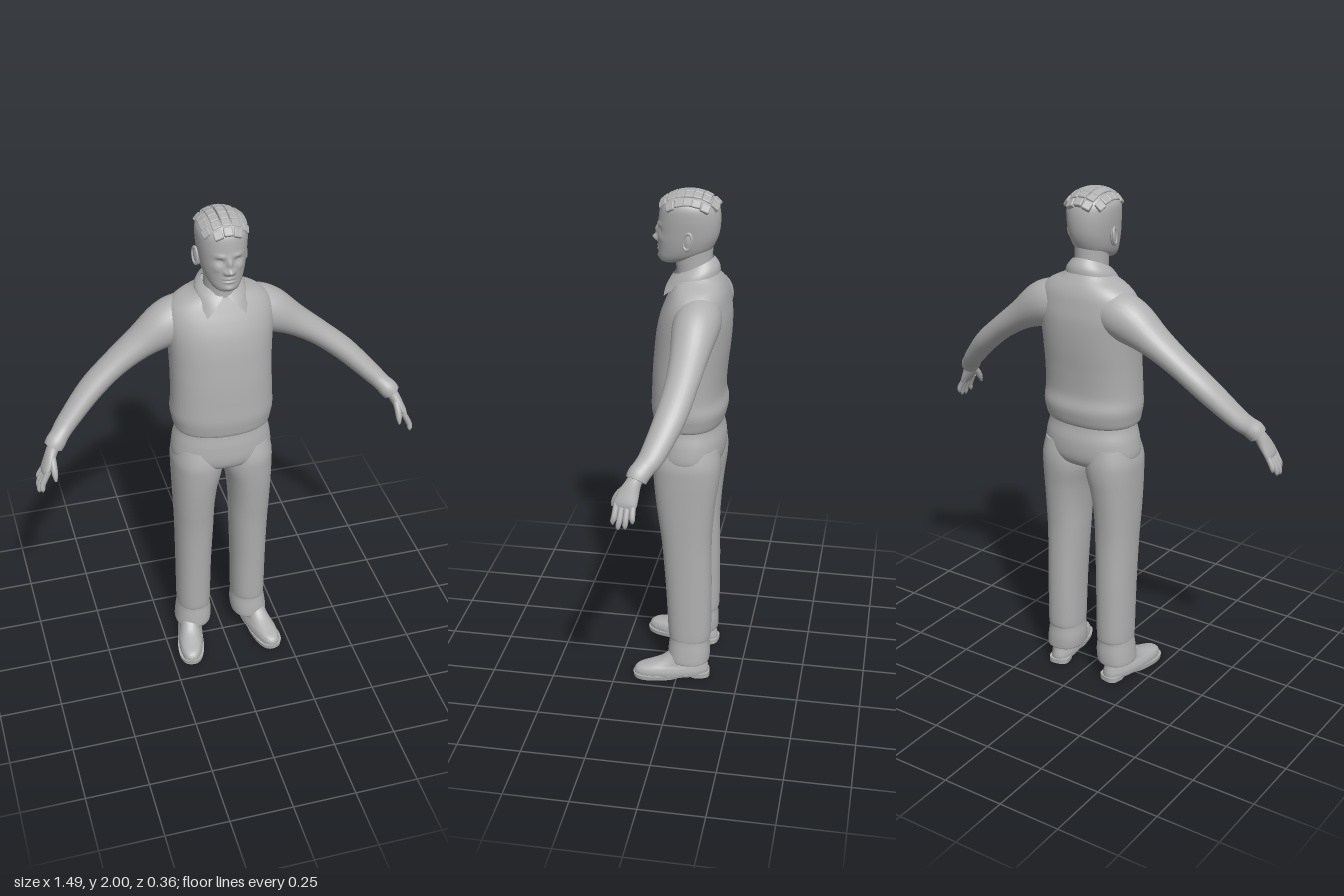
import * as THREE from 'three';
import { mergeGeometries } from 'three/addons/utils/BufferGeometryUtils.js';
import { RoundedBoxGeometry } from 'three/addons/geometries/RoundedBoxGeometry.js';

const V = (x, y, z) => new THREE.Vector3(x, y, z);

// Smoothly refines rows of numbers (Catmull-Rom on every column)
function refine(rows, k) {
  const out = [], n = rows.length - 1;
  const at = i => rows[Math.max(0, Math.min(n, i))];
  for (let i = 0; i < n; i++) for (let s = 0; s < k; s++) {
    const t = s / k;
    out.push(rows[i].map((b, c) => {
      const a = at(i - 1)[c], d = at(i + 1)[c], e = at(i + 2)[c];
      return b + 0.5 * t * (d - a + t * (2 * a - 5 * b + 4 * d - e + t * (3 * (b - d) + e - a)));
    }));
  }
  out.push(rows[n]);
  return out;
}

// Skins closed rings of points, with flat caps at both ends
function skin(rings) {
  const n = rings[0].length, pos = [], index = [];
  rings.forEach(r => r.forEach(p => pos.push(p.x, p.y, p.z)));
  for (let i = 0; i < rings.length - 1; i++) for (let j = 0; j < n; j++) {
    const a = i * n + j, b = i * n + (j + 1) % n;
    index.push(a, b, a + n, b, b + n, a + n);
  }
  [rings[0], rings[rings.length - 1]].forEach((r, end) => {
    const base = pos.length / 3;
    const c = r.reduce((s, p) => s.add(p), V(0, 0, 0)).divideScalar(n);
    [...r, c].forEach(p => pos.push(p.x, p.y, p.z));
    for (let j = 0; j < n; j++) {
      const a = base + j, b = base + (j + 1) % n;
      index.push(base + n, end ? a : b, end ? b : a);
    }
  });
  const g = new THREE.BufferGeometry();
  g.setAttribute('position', new THREE.Float32BufferAttribute(pos, 3));
  g.setIndex(index);
  g.computeVertexNormals();
  return g;
}

function ring(c, u, v, n, e = 2) {
  const f = w => Math.sign(w) * Math.abs(w) ** (2 / e);
  return Array.from({ length: n }, (_, j) => {
    const a = j / n * Math.PI * 2;
    return c.clone().addScaledVector(u, f(Math.cos(a))).addScaledVector(v, f(Math.sin(a)));
  });
}

// Stacked level sections, rows from the bottom up: [y, xMin, xMax, zFront, zBack]
const stack = (rows, k = 5, n = 40, e = 2) => skin(refine(rows, k).map(([y, x0, x1, zf, zb]) =>
  ring(V((x0 + x1) / 2, y, (zf + zb) / 2), V((x1 - x0) / 2, 0, 0), V(0, 0, -(zf - zb) / 2), n, e)));
// Same, symmetric about x = 0: [y, halfWidth, zFront, zBack]
const body = (rows, ...o) => stack(rows.map(([y, w, f, b]) => [y, -w, w, f, b]), ...o);

// Sections square to a path: [x, y, z, thickness radius, depth radius]
function limb(rows, k = 5, n = 28) {
  const r = refine(rows, k), p = r.map(q => V(q[0], q[1], q[2]));
  return skin(r.map((q, i) => {
    const t = p[Math.min(i + 1, p.length - 1)].clone().sub(p[Math.max(i - 1, 0)]).normalize();
    const v = V(0, 0, 1).addScaledVector(t, -t.z).normalize();
    const u = v.clone().cross(t);
    return ring(p[i], u.multiplyScalar(q[3]), v.multiplyScalar(q[4]), n);
  }));
}

function mirror(geo) {
  const g = geo.clone().scale(-1, 1, 1), a = g.index.array;
  for (let i = 0; i < a.length; i += 3) [a[i], a[i + 1]] = [a[i + 1], a[i]];
  g.computeVertexNormals();
  return g;
}

// Head with facial features pushed out of or into the front
function headGeometry() {
  const g = body([
    [1.722, 0.015, 0.07, 0.03], [1.732, 0.042, 0.085, 0.0], [1.75, 0.06, 0.092, -0.06],
    [1.775, 0.072, 0.093, -0.1], [1.81, 0.081, 0.094, -0.122], [1.85, 0.087, 0.093, -0.134],
    [1.9, 0.092, 0.09, -0.137], [1.94, 0.091, 0.083, -0.13], [1.965, 0.077, 0.066, -0.113],
    [1.98, 0.052, 0.04, -0.085], [1.986, 0.004, -0.02, -0.028]], 8, 128, 2.15);
  const bumps = [ // x, y, spread x, spread y, push
    [0, 1.845, 0.009, 0.02, 0.013], [0, 1.815, 0.012, 0.011, 0.022], [0.014, 1.81, 0.007, 0.007, 0.01],
    [0.032, 1.874, 0.02, 0.007, 0.006], [0.033, 1.853, 0.013, 0.009, -0.011], [0.033, 1.851, 0.008, 0.004, 0.006],
    [0.045, 1.825, 0.015, 0.014, 0.004], [0, 1.785, 0.02, 0.004, 0.006], [0, 1.779, 0.022, 0.002, -0.004],
    [0, 1.772, 0.017, 0.004, 0.006], [0, 1.745, 0.02, 0.01, 0.006]];
  const p = g.attributes.position;
  for (let i = 0; i < p.count; i++) {
    const x = p.getX(i), y = p.getY(i), z = p.getZ(i);
    if (z < 0.02) continue;
    let d = 0;
    for (const [bx, by, sx, sy, h] of bumps)
      d += h * Math.exp(-(((Math.abs(x) - bx) / sx) ** 2) - ((y - by) / sy) ** 2);
    p.setZ(i, z + d);
  }
  g.computeVertexNormals();
  return g;
}

// Cropped hair: a curved grid of blocks over the crown
function hairGeometry() {
  const blocks = [];
  for (let i = -2; i <= 2; i++) for (let j = -3; j <= 3; j++) {
    const x = i * 0.034, z = j * 0.031;
    const q = 1 - (x / 0.1) ** 2 - (z / 0.122) ** 2;
    if (q < 0.08) continue;
    const y = 0.087 * Math.sqrt(q);
    const normal = V(x / 0.01, y / 0.0076, z / 0.0149).normalize();
    const b = new RoundedBoxGeometry(0.033, 0.022, 0.034, 2, 0.005);
    b.applyQuaternion(new THREE.Quaternion().setFromUnitVectors(V(0, 1, 0), normal));
    blocks.push(b.translate(x, 1.9 + y, z - 0.026));
  }
  return mergeGeometries(blocks);
}

// Folded shirt collar, open and pointed at the front
function collarGeometry() {
  const n = 64, m = 6, pos = [], index = [];
  for (let i = 0; i <= n; i++) {
    const s = i / n, edge = Math.min(s, 1 - s);
    const ta = 0.12 + s * (2 * Math.PI - 0.24), ba = 0.85 + s * (2 * Math.PI - 1.7);
    const top = V(0.07 * Math.sin(ta), 1.716 - 0.034 * Math.cos(ta), -0.038 + 0.075 * Math.cos(ta));
    const low = V(0.098 * Math.sin(ba), 1.675 - 0.02 * Math.cos(ba) - 0.05 * Math.exp(-edge * 14),
      -0.042 + 0.095 * Math.cos(ba) + 0.042 * Math.exp(-edge * 12));
    for (let j = 0; j <= m; j++) {
      const p = top.clone().lerp(low, j / m);
      const out = 0.008 * Math.sin(Math.PI * j / m);
      pos.push(p.x + out * Math.sin(ta), p.y, p.z + out * Math.cos(ta));
      if (i < n && j < m) {
        const a = i * (m + 1) + j, b = a + m + 1;
        index.push(a, a + 1, b, b, a + 1, b + 1);
      }
    }
  }
  const g = new THREE.BufferGeometry();
  g.setAttribute('position', new THREE.Float32BufferAttribute(pos, 3));
  g.setIndex(index);
  g.computeVertexNormals();
  return g;
}

export function createModel() {
  const model = new THREE.Group();
  model.name = 'standingMan';
  const grey = new THREE.MeshStandardMaterial({ color: 0xb0b0b0, side: THREE.DoubleSide });
  grey.name = 'plain grey';
  const add = (name, geo) => {
    const mesh = new THREE.Mesh(geo, grey);
    mesh.name = name;
    model.add(mesh);
  };
  const pair = (name, geo) => {
    add(name + 'Left', geo);
    add(name + 'Right', mirror(geo));
  };

  // Head and neck
  add('head', headGeometry());
  add('hair', hairGeometry());
  add('neck', body([[1.6, 0.07, 0.03, -0.11], [1.68, 0.062, 0.025, -0.108], [1.74, 0.061, 0.03, -0.108], [1.8, 0.062, 0.03, -0.11]]));
  add('shirtCollar', collarGeometry());
  pair('ear', new THREE.SphereGeometry(1, 20, 14).scale(0.01, 0.034, 0.02).rotateX(-0.15).rotateY(-0.3).translate(0.087, 1.825, -0.03));
  pair('earRim', new THREE.TorusGeometry(0.022, 0.005, 8, 24).scale(0.8, 1.4, 1).rotateY(Math.PI / 2 - 0.3).rotateX(-0.15).translate(0.094, 1.828, -0.03));

  // Sweater
  add('sweaterBody', body([
    [1.1, 0.172, 0.095, -0.148], [1.108, 0.186, 0.108, -0.158], [1.135, 0.193, 0.114, -0.167],
    [1.175, 0.199, 0.118, -0.172], [1.23, 0.196, 0.116, -0.162], [1.32, 0.194, 0.112, -0.168],
    [1.4, 0.195, 0.105, -0.177], [1.47, 0.199, 0.097, -0.182], [1.53, 0.204, 0.084, -0.182],
    [1.58, 0.203, 0.066, -0.175], [1.62, 0.188, 0.048, -0.167], [1.65, 0.155, 0.034, -0.155],
    [1.675, 0.105, 0.022, -0.14], [1.7, 0.075, 0.01, -0.122]], 6, 56, 2.3));
  pair('sleeve', limb([
    [0.08, 1.56, -0.085, 0.075, 0.07], [0.14, 1.555, -0.08, 0.088, 0.085], [0.205, 1.53, -0.075, 0.085, 0.085],
    [0.3, 1.472, -0.07, 0.059, 0.07], [0.4, 1.402, -0.06, 0.047, 0.06], [0.5, 1.32, -0.038, 0.044, 0.056],
    [0.6, 1.222, 0.005, 0.037, 0.046], [0.635, 1.188, 0.03, 0.034, 0.04], [0.655, 1.168, 0.046, 0.037, 0.04],
    [0.667, 1.152, 0.053, 0.035, 0.038]]));

  // Hands
  pair('palm', limb([
    [0.65, 1.175, 0.045, 0.022, 0.028], [0.672, 1.145, 0.06, 0.022, 0.028], [0.69, 1.11, 0.074, 0.02, 0.037],
    [0.706, 1.08, 0.083, 0.016, 0.041], [0.713, 1.065, 0.086, 0.01, 0.036]]));
  pair('thumb', limb([
    [0.676, 1.135, 0.075, 0.012, 0.014], [0.678, 1.105, 0.108, 0.013, 0.014], [0.678, 1.075, 0.128, 0.011, 0.011],
    [0.678, 1.052, 0.137, 0.004, 0.004]], 4, 14));
  const tips = [[0.728, 1.005, 0.125], [0.738, 0.992, 0.104], [0.738, 0.996, 0.08], [0.732, 1.015, 0.055]];
  tips.forEach(([x, y, z], i) => {
    const bz = 0.114 - i * 0.019;
    pair('finger' + (i + 1), limb([
      [0.7, 1.085, bz, 0.011, 0.011], [(x + 0.722) / 2, (y + 1.07) / 2, (z + bz) / 2, 0.011, 0.0105],
      [x, y + 0.012, z, 0.009, 0.009], [x, y, z, 0.003, 0.003]], 4, 14));
  });

  // Trousers
  add('trouserSeat', body([
    [0.925, 0.12, 0.06, -0.12], [0.945, 0.175, 0.092, -0.15], [0.98, 0.197, 0.104, -0.165],
    [1.04, 0.192, 0.102, -0.166], [1.09, 0.18, 0.095, -0.155], [1.13, 0.176, 0.092, -0.15]], 5, 48, 2.2));
  pair('trouserLeg', stack([
    [0.072, 0.06, 0.19, 0.025, -0.118], [0.076, 0.05, 0.197, 0.042, -0.126], [0.12, 0.046, 0.193, 0.041, -0.128],
    [0.17, 0.05, 0.186, 0.036, -0.125], [0.2, 0.049, 0.187, 0.041, -0.131], [0.4, 0.045, 0.188, 0.051, -0.132],
    [0.6, 0.037, 0.191, 0.066, -0.13], [0.72, 0.033, 0.195, 0.081, -0.137], [0.82, 0.021, 0.198, 0.093, -0.148],
    [0.9, 0.002, 0.2, 0.1, -0.159], [0.96, 0.0, 0.199, 0.1, -0.16], [1.02, 0.01, 0.185, 0.085, -0.15]], 5, 40, 2.25));

  // Shoes, toes turned slightly out
  const shoe = geo => geo.rotateY(0.2).translate(0.145, 0, 0);
  pair('shoeUpper', shoe(body([
    [0.012, 0.05, 0.176, -0.125], [0.03, 0.052, 0.177, -0.126], [0.048, 0.048, 0.162, -0.123],
    [0.062, 0.043, 0.118, -0.12], [0.08, 0.041, 0.07, -0.118], [0.11, 0.037, 0.03, -0.11]], 5, 40, 2.4)));
  pair('shoeSole', shoe(body([[0, 0.052, 0.18, -0.02], [0.018, 0.055, 0.182, -0.025]], 1, 40, 2.5)));
  pair('shoeWelt', shoe(body([[0.01, 0.05, 0.18, -0.128], [0.02, 0.053, 0.181, -0.13]], 1, 40, 2.4)));
  pair('shoeHeel', shoe(body([[0, 0.042, -0.045, -0.13], [0.02, 0.043, -0.045, -0.13]], 1, 32, 3)));
  return model;
}
